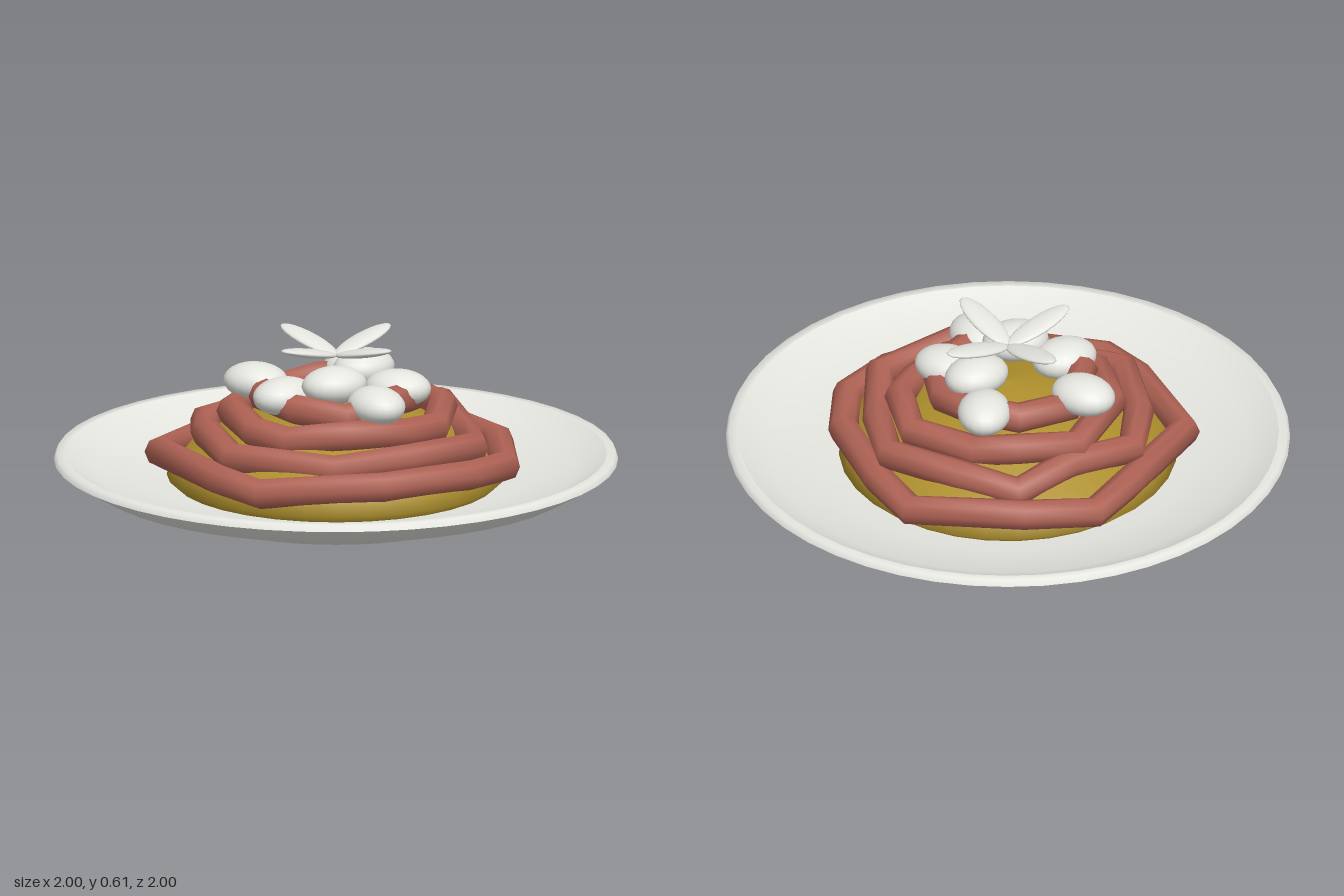
import * as THREE from 'three';

const V = (x, y) => new THREE.Vector2(x, y);

export function createModel() {
  const group = new THREE.Group();
  const mat = (name, color, side = THREE.FrontSide) => {
    const m = new THREE.MeshStandardMaterial({ color, side });
    m.name = name;
    return m;
  };
  const white = mat('porcelain white', 0xe4e5df);
  const red = mat('sauce red', 0xae6254);
  const gold = mat('pasta gold', 0xac8e2c);

  const add = (name, geometry, material, parent = group) => {
    const mesh = new THREE.Mesh(geometry, material);
    mesh.name = name;
    parent.add(mesh);
    return mesh;
  };

  // Plate: smooth underside, flat-edged rim and smooth bowl
  const underside = [V(0, 0), V(0.56, 0), V(0.61, 0.045), V(0.87, 0.09), V(1, 0.165)];
  const rim = [V(1, 0.165), V(0.99, 0.187), V(0.96, 0.187)];
  const bowl = [V(0.96, 0.187), V(0.85, 0.13), V(0.65, 0.09), V(0.4, 0.075), V(0, 0.07)];
  add('plateUnderside', new THREE.LatheGeometry(underside, 48), white);
  add('plateRim', new THREE.LatheGeometry(rim, 48), white);
  add('plateBowl', new THREE.LatheGeometry(bowl, 48), white);

  // Mound of pasta under the strands
  const mound = [V(0.56, 0.075), V(0.6, 0.11), V(0.58, 0.17), V(0.5, 0.225),
    V(0.4, 0.275), V(0.3, 0.33), V(0.15, 0.38), V(0, 0.4)];
  add('pastaMound', new THREE.LatheGeometry(mound, 32), gold);

  // Sauce strands: closed angular loops given by their outer corners [x, z]
  const strands = [
    { y: 0.195, wave: 0.014, pts: [[0.1, -0.68], [0.34, -0.55], [0.64, -0.22], [0.62, 0.02],
      [0.52, 0.37], [0.33, 0.59], [0.1, 0.63], [-0.3, 0.55], [-0.63, 0.21], [-0.63, -0.01],
      [-0.52, -0.44], [-0.15, -0.58]] },
    { y: 0.26, wave: 0.02, pts: [[-0.23, -0.5], [0.05, -0.47], [0.3, -0.46], [0.43, -0.25],
      [0.57, 0.02], [0.42, 0.3], [0.22, 0.54], [-0.13, 0.53], [-0.36, 0.35], [-0.56, -0.02],
      [-0.4, -0.33]] },
    { y: 0.325, wave: 0.02, pts: [[0, -0.45], [0.22, -0.36], [0.33, -0.22], [0.46, 0.03],
      [0.36, 0.25], [0.2, 0.37], [0, 0.4], [-0.25, 0.32], [-0.38, 0.1], [-0.42, -0.05],
      [-0.3, -0.3]] },
    { y: 0.4, wave: 0.018, pts: [[0.15, -0.27], [0.28, -0.12], [0.29, 0.08], [0.2, 0.25],
      [0, 0.3], [-0.2, 0.26], [-0.3, 0.05], [-0.28, -0.16], [-0.1, -0.3]] },
  ];
  const tube = 0.055;
  strands.forEach(({ y, wave, pts }) => {
    const path = pts.map(([x, z], i) => {
      const k = 1 - tube / Math.hypot(x, z);
      return new THREE.Vector3(x * k, y + wave * Math.sin(i * 2.1), z * k);
    });
    const curve = new THREE.CatmullRomCurve3(path, true);
    // One ring of the tube on each corner keeps the loop angular
    curve.getPointAt = curve.getPoint;
    curve.getTangentAt = curve.getTangent;
    add('sauceStrand', new THREE.TubeGeometry(curve, path.length, tube, 8, true), red);
  });

  // Cheese balls: x, y, z, yaw
  const balls = [
    [-0.13, 0.425, -0.27, 0.35], [0.22, 0.425, -0.15, -0.7], [-0.22, 0.43, -0.04, 1.4],
    [-0.11, 0.475, 0.1, 1.2], [-0.07, 0.425, 0.27, -0.2], [0.14, 0.43, 0.17, 0.5],
    [0.14, 0.475, 0.0, 1.5],
  ];
  const ballGeo = new THREE.SphereGeometry(1, 20, 14);
  balls.forEach(([x, y, z, yaw]) => {
    const b = add('cheeseBall', ballGeo, white);
    b.position.set(x, y, z);
    b.scale.set(0.095, 0.067, 0.12);
    b.rotation.y = yaw;
  });

  // Four raised leaves in a cross on top
  const leaves = new THREE.Group();
  leaves.name = 'topLeaves';
  leaves.position.y = 0.577;
  group.add(leaves);
  for (let i = 0; i < 4; i++) {
    const arm = new THREE.Group();
    arm.name = 'leafArm';
    arm.rotation.y = i * Math.PI / 2;
    const leaf = add('leaf', ballGeo, white, arm);
    leaf.position.x = 0.135;
    leaf.scale.set(0.138, 0.016, 0.048);
    leaf.rotation.z = 0.23;
    leaves.add(arm);
  }
  return group;
}
